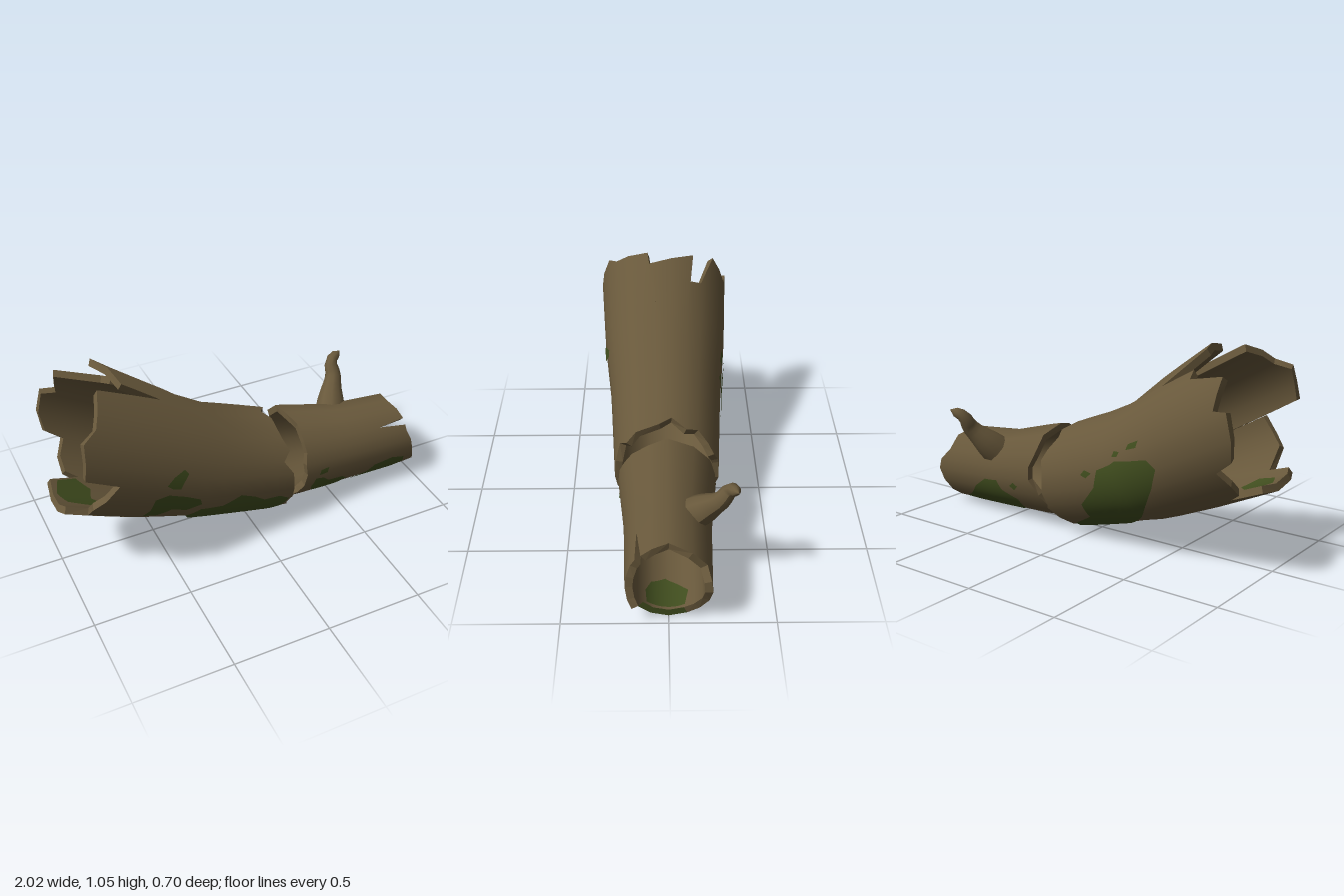
import * as THREE from 'three';

const bark = new THREE.MeshStandardMaterial({ color: 0x68583b });
bark.name = 'bark brown';
const moss = new THREE.MeshStandardMaterial({ color: 0x404d1e });
moss.name = 'moss green';

const WALL = 0.036;
const lerp = THREE.MathUtils.lerp;
const rad = THREE.MathUtils.degToRad;

// Axis stations: [x, centre y, radius, lean of the cross-section]
const BIG = [[-1, 0.785, 0.352, 0.46], [-0.565, 0.56, 0.328, 0.46], [-0.285, 0.41, 0.298, 0.46],
  [0.12, 0.282, 0.273, 0.2], [0.25, 0.25, 0.265, 0.2]];
const SMALL = [[0.2, 0.29, 0.25, 0.12], [0.3, 0.275, 0.245, 0.06], [0.6, 0.228, 0.212, 0], [1, 0.203, 0.2, 0]];

// Interpolated [x, centre y, radius, lean] at axis position u
function station(axis, u) {
  let i = 0;
  while (i < axis.length - 2 && u > axis[i + 1][0]) i++;
  const t = (u - axis[i][0]) / (axis[i + 1][0] - axis[i][0]);
  return axis[i].map((v, k) => lerp(v, axis[i + 1][k], t));
}

// Point and outward direction at axis position u and angle a (0 = top, 90 = front)
function onLog(axis, u, a, offset = 0) {
  const [, cy, r, lean] = station(axis, u);
  const s = Math.atan(lean), c = Math.cos(rad(a));
  const n = new THREE.Vector3(Math.sin(s) * c, Math.cos(s) * c, Math.sin(rad(a)));
  return { p: new THREE.Vector3(u, cy, 0).addScaledVector(n, r + offset), n };
}

// Turns x, y points on the front of a log into [u, angle] pairs
function fromFront(axis, points) {
  return points.map(([x, y]) => {
    let u = x, c = 0;
    for (let k = 0; k < 20; k++) {
      const [, cy, r, lean] = station(axis, u), s = Math.atan(lean);
      c = THREE.MathUtils.clamp((y - cy) / (r * Math.cos(s)), -0.96, 1);
      u = lerp(u, x - r * Math.sin(s) * c, 0.7);
    }
    return [u, THREE.MathUtils.radToDeg(Math.acos(c))];
  });
}

// Collects quads, each turned to face its reference direction
class Surface {
  pos = [];
  nor = [];
  tri(p, ref, normals) {
    const flat = p[1].clone().sub(p[0]).cross(p[2].clone().sub(p[0]));
    if (flat.lengthSq() < 1e-16) return;
    flat.normalize();
    const flip = flat.dot(ref) < 0;
    if (flip) flat.negate();
    for (const i of flip ? [0, 2, 1] : [0, 1, 2]) {
      this.pos.push(...p[i].toArray());
      this.nor.push(...(normals ? normals[i] : flat).toArray());
    }
  }
  quad(a, b, c, d, ref, n) {
    this.tri([a, b, c], ref, n && [n[0], n[1], n[2]]);
    this.tri([a, c, d], ref, n && [n[0], n[2], n[3]]);
  }
  mesh(name, material) {
    const g = new THREE.BufferGeometry();
    g.setAttribute('position', new THREE.Float32BufferAttribute(this.pos, 3));
    g.setAttribute('normal', new THREE.Float32BufferAttribute(this.nor, 3));
    const m = new THREE.Mesh(g, material);
    m.name = name;
    return m;
  }
}

// Thick curved panel; column = [angle, splintered end u, other end u, crack tip angle, crack tip u]
function addPanel(axis, columns, mid, lift, body, rimMoss, mossRange) {
  const K = 5, N = 10;
  const grid = columns.map(([a, u0, u1, tipA = a, tipU = mid]) => {
    const col = [];
    for (let j = 0; j <= N; j++) {
      const t = Math.min(j / K, 1);
      const u = j <= K ? lerp(u0, tipU, t) : lerp(tipU, u1, (j - K) / (N - K));
      const ang = lerp(a, tipA, t), up = lift * (1 - t);
      const o = onLog(axis, u, ang, up);
      col.push({ o: o.p, i: onLog(axis, u, ang, up - WALL).p, n: o.n, m: o.n.clone().negate() });
    }
    return col;
  });
  const L = grid.length - 1;
  for (let k = 0; k < L; k++) {
    const A = grid[k], B = grid[k + 1];
    for (let j = 0; j < N; j++) {
      const q = [A[j], B[j], B[j + 1], A[j + 1]];
      body.quad(...q.map(v => v.o), q[0].n, q.map(v => v.n));
      body.quad(...q.map(v => v.i), q[0].m, q.map(v => v.m));
    }
    // broken rims
    const green = mossRange && columns[k][0] >= mossRange[0] && columns[k + 1][0] <= mossRange[1];
    (green ? rimMoss : body).quad(A[0].o, B[0].o, B[0].i, A[0].i, A[0].o.clone().sub(A[1].o));
    body.quad(A[N].o, B[N].o, B[N].i, A[N].i, A[N].o.clone().sub(A[N - 1].o));
  }
  // crack walls
  for (const [e, inner] of [[0, 1], [L, L - 1]]) {
    for (let j = 0; j < K; j++) {
      const P = grid[e][j], Q = grid[e][j + 1];
      body.quad(P.o, Q.o, Q.i, P.i, P.o.clone().sub(grid[inner][j].o));
    }
  }
}

// Moss patch hugging the log inside an outline of [u, angle]; a negative offset lies on the inner wall
function mossPatch(axis, outline, offset = 0.004) {
  const s = new Surface(), R = 6, E = 4, S = outline.length * E;
  const mean = k => outline.reduce((sum, p) => sum + p[k], 0) / outline.length;
  const cu = mean(0), ca = mean(1);
  const at = (r, k) => {
    const i = Math.floor(k / E) % outline.length, f = (k % E) / E;
    const p = outline[i], q = outline[(i + 1) % outline.length];
    const v = onLog(axis, lerp(cu, lerp(p[0], q[0], f), r / R), lerp(ca, lerp(p[1], q[1], f), r / R),
      offset < 0 ? offset - WALL : offset);
    if (offset < 0) v.n.negate();
    return v;
  };
  for (let r = 0; r < R; r++) for (let k = 0; k < S; k++) {
    const q = [at(r, k), at(r + 1, k), at(r + 1, k + 1), at(r, k + 1)];
    s.quad(...q.map(v => v.p), q[0].n, q.map(v => v.n));
  }
  return s.mesh('mossPatch', moss);
}

function makeLog(name, axis, panels, mid, patches, mossRange) {
  const g = new THREE.Group(), body = new Surface(), rim = new Surface();
  g.name = name;
  for (const { columns, lift = 0 } of panels) addPanel(axis, columns, mid, lift, body, rim, mossRange);
  g.add(body.mesh('barkShell', bark));
  if (mossRange) g.add(rim.mesh('mossyRim', moss));
  for (const p of patches) g.add(mossPatch(axis, ...p));
  return g;
}

// Side twig: a tube narrowed along its length
function makeBranch() {
  const path = new THREE.CatmullRomCurve3([[0.61, 0.32, -0.1], [0.665, 0.42, -0.19], [0.705, 0.49, -0.245],
    [0.71, 0.555, -0.285], [0.78, 0.588, -0.315]].map(p => new THREE.Vector3(...p)));
  const rows = 12, sides = 10, g = new THREE.TubeGeometry(path, rows, 1, sides);
  const widths = [0.09, 0.075, 0.05, 0.036, 0.02];
  const pos = g.attributes.position, v = new THREE.Vector3();
  for (let i = 0; i < pos.count; i++) {
    const row = Math.floor(i / (sides + 1)), c = path.getPointAt(row / rows);
    const f = Math.min(row / rows * 4, 3.999), k = Math.floor(f);
    v.fromBufferAttribute(pos, i).sub(c).multiplyScalar(row === rows ? 0.001 : lerp(widths[k], widths[k + 1], f - k)).add(c);
    pos.setXYZ(i, v.x, v.y, v.z);
  }
  g.computeVertexNormals();
  const m = new THREE.Mesh(g, bark);
  m.name = 'branch';
  return m;
}

export function createModel() {
  const model = new THREE.Group();
  model.name = 'brokenHollowLog';
  const bigPanels = [
    // raised splinter on top
    { lift: 0.06, columns: [[-22, -0.86, 0.14, -21, -0.57], [-5, -0.825, 0.08], [13, -0.8, 0.12, 8, -0.57]] },
    // upper front
    { lift: 0.01, columns: [[16, -0.9, 0.12, 8, -0.57], [35, -0.915, 0.13], [49, -0.925, 0.16], [61, -0.975, 0.12],
      [75, -0.95, 0.18], [88, -0.93, 0.2, 95, -0.3]] },
    // lower front
    { columns: [[90.5, -0.76, 0.2, 95, -0.3], [108, -0.785, 0.21], [122, -0.81, 0.2], [147, -0.77, 0.22, 130, -0.37]] },
    // bottom plank
    { columns: [[150, -0.87, 0.22, 130, -0.37], [160, -0.88, 0.15], [180, -0.87, 0.11], [200, -0.86, 0.15, 205, -0.72]] },
    // back
    { columns: [[210, -0.78, 0.15, 205, -0.72], [225, -0.8, 0.17], [242, -0.79, 0.2], [246, -0.88, 0.19], [262, -0.93, 0.2],
      [282, -0.95, 0.18], [287, -0.89, 0.18], [298, -0.92, 0.19], [310, -0.95, 0.16], [325, -0.76, 0.12],
      [339, -0.75, 0.14, 339, -0.57]] },
  ];
  model.add(makeLog('largeLog', BIG, bigPanels, -0.35, [
    // front
    [fromFront(BIG, [[-0.41, 0.27], [-0.34, 0.315], [-0.22, 0.29], [-0.12, 0.33], [-0.04, 0.285], [0.02, 0.235], [0.11, 0.225],
      [0.17, 0.18], [0.14, 0.11], [0.04, 0.075], [-0.1, 0.085], [-0.23, 0.125], [-0.32, 0.2], [-0.39, 0.23]])],
    [fromFront(BIG, [[-0.61, 0.42], [-0.59, 0.5], [-0.52, 0.505], [-0.43, 0.455], [-0.35, 0.4], [-0.34, 0.36], [-0.42, 0.345],
      [-0.5, 0.385], [-0.57, 0.35], [-0.64, 0.37]])],
    [fromFront(BIG, [[-0.53, 0.57], [-0.49, 0.6], [-0.43, 0.615], [-0.41, 0.585], [-0.44, 0.55], [-0.46, 0.52], [-0.5, 0.54]]), 0.01],
    // back
    [[[-0.15, 262], [-0.2, 278], [-0.32, 282], [-0.42, 276], [-0.5, 272], [-0.53, 262], [-0.46, 248], [-0.36, 232],
      [-0.28, 218], [-0.16, 200], [0.02, 196], [0.12, 200], [0.1, 214], [-0.02, 226], [-0.03, 245]]],
    [[[-0.09, 276], [-0.12, 280], [-0.16, 276], [-0.12, 272]]],
    [[[-0.4, 287], [-0.42, 291], [-0.48, 290], [-0.46, 285]]],
    [[[-0.31, 287], [-0.33, 291], [-0.36, 288], [-0.34, 285]]],
    // inside of the plank
    [[[-0.83, 164], [-0.855, 180], [-0.83, 198], [-0.74, 202], [-0.68, 190], [-0.7, 175], [-0.66, 165], [-0.74, 157]], -0.008],
  ]));

  const smallColumns = [[50, 0.94, 0.28, 45, 0.78], [60, 0.94, 0.285], [75, 0.96, 0.275], [90, 0.97, 0.285], [108, 0.985, 0.28],
    [122, 1, 0.26], [134, 0.95, 0.23], [155, 0.95, 0.23], [180, 0.95, 0.25], [205, 0.95, 0.21], [225, 0.96, 0.22],
    [248, 0.98, 0.25], [268, 1, 0.3], [284, 0.99, 0.3], [300, 0.94, 0.27], [328, 0.94, 0.27], [360, 0.91, 0.25],
    [382, 0.93, 0.28], [399, 0.94, 0.28, 405, 0.78]];
  const small = makeLog('smallLog', SMALL, [{ columns: smallColumns }], 0.65, [
    // front
    [fromFront(SMALL, [[0.32, 0.18], [0.34, 0.235], [0.39, 0.22], [0.43, 0.18], [0.52, 0.165], [0.56, 0.13], [0.49, 0.09],
      [0.4, 0.11], [0.33, 0.13]])],
    [fromFront(SMALL, [[0.36, 0.25], [0.37, 0.28], [0.42, 0.28], [0.41, 0.25]])],
    [fromFront(SMALL, [[0.56, 0.03], [0.6, 0.09], [0.69, 0.12], [0.73, 0.165], [0.84, 0.18], [0.92, 0.155], [0.93, 0.11],
      [0.88, 0.08], [0.92, 0.02], [0.7, 0.01]])],
    // back
    [[[0.86, 215], [0.78, 232], [0.72, 250], [0.64, 264], [0.55, 264], [0.52, 250], [0.42, 236], [0.42, 215], [0.5, 200],
      [0.62, 198], [0.75, 205]]],
    [[[0.39, 258], [0.42, 263], [0.45, 258], [0.42, 252]]],
    // inside the open end
    [[[0.94, 140], [0.94, 180], [0.94, 208], [0.86, 215], [0.8, 195], [0.76, 175], [0.8, 150], [0.87, 138]], -0.008],
  ], [122, 206]);
  small.add(makeBranch());
  model.add(small);
  return model;
}
